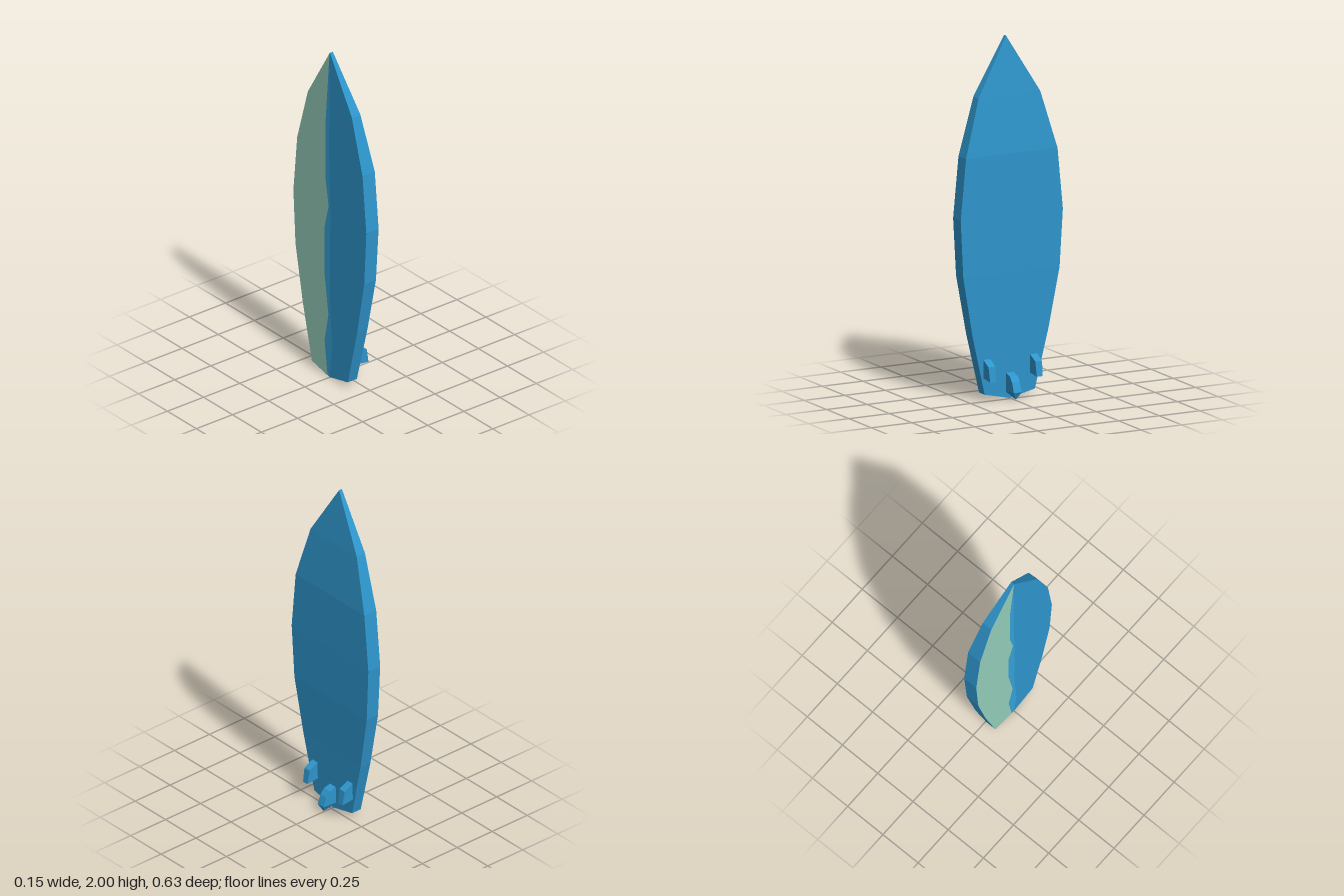
import * as THREE from 'three';

const BACK = -0.077;
// Board stations from tail to nose: height, half width, x of the fin side
const ROWS = [
  [0, 0, -0.015], [0.035, 0.155, -0.015], [0.37, 0.235, -0.006], [0.70, 0.297, 0.004],
  [1.02, 0.315, 0.008], [1.36, 0.282, 0.008], [1.68, 0.19, -0.018], [2, 0, -0.057],
];

function boardGeometry() {
  const pos = [];
  const quad = (a, b, c, d) => pos.push(...a, ...b, ...c, ...a, ...c, ...d);
  for (let i = 0; i < ROWS.length - 1; i++) {
    const [y, w, f] = ROWS[i], [Y, W, F] = ROWS[i + 1];
    quad([f, y, w], [f, y, -w], [F, Y, -W], [F, Y, W]);
    quad([BACK, y, -w], [BACK, y, w], [BACK, Y, W], [BACK, Y, -W]);
    quad([BACK, y, w], [f, y, w], [F, Y, W], [BACK, Y, W]);
    quad([f, y, -w], [BACK, y, -w], [BACK, Y, -W], [F, Y, -W]);
  }
  const g = new THREE.BufferGeometry();
  g.setAttribute('position', new THREE.Float32BufferAttribute(pos, 3));
  g.computeVertexNormals();
  return g;
}

// Fin from a side profile; vertices picked by the taper rule are narrowed
function finGeometry(points, width, taper) {
  const shape = new THREE.Shape(points.map(([x, y]) => new THREE.Vector2(x, y)));
  const g = new THREE.ExtrudeGeometry(shape, { depth: width, bevelEnabled: false });
  g.translate(0, 0, -width / 2);
  const p = g.attributes.position;
  for (let i = 0; i < p.count; i++) p.setZ(i, p.getZ(i) * taper(p.getX(i), p.getY(i)));
  g.computeVertexNormals();
  return g;
}

// Flat paint on the deck, outlined in (z, y)
function deckPaint(points, lift) {
  const shape = new THREE.Shape(points.map(([z, y]) => new THREE.Vector2(z, y)));
  const g = new THREE.ShapeGeometry(shape);
  g.rotateY(-Math.PI / 2);
  g.translate(BACK - lift, 0, 0);
  return g;
}

export function createModel() {
  const group = new THREE.Group();
  const material = (name, color, flatShading = false) => {
    const m = new THREE.MeshStandardMaterial({ color, flatShading });
    m.name = name;
    return m;
  };
  const blue = material('boardBlue', 0x2e95cc, true);
  const pale = material('paleGreen', 0x94cdb9);
  const lightBlue = material('stripeBlue', 0x36a2d8);
  const add = (name, geometry, mat) => {
    const mesh = new THREE.Mesh(geometry, mat);
    mesh.name = name;
    group.add(mesh);
    return mesh;
  };

  add('board', boardGeometry(), blue);

  // Painted half of the deck with an uneven inner edge
  const edge = [
    [-0.02, 0.01], [-0.045, 0.21], [-0.012, 0.38], [-0.045, 0.62], [-0.045, 0.91],
    [-0.01, 1.05], [-0.035, 1.2], [-0.035, 1.58], [-0.01, 1.9],
  ];
  const rim = ROWS.map(([y, w]) => [-w, y]);
  add('deckPaint', deckPaint([...edge, ...rim.slice(1).reverse()], 0.001), pale);

  // Narrow stripe between the paint and the centre line
  add('deckStripe', deckPaint([...edge.slice().reverse(), [0, 0.01], [0.02, 0.2],
    [0, 0.5], [0.005, 1], [-0.006, 1.4], [0, 1.9]].reverse(), 0.001), lightBlue);

  // Centre fin, swept down to a point
  add('centreFin', finGeometry([[-0.03, 0.16], [-0.03, 0.04], [0.055, 0.007],
    [0.075, 0.047], [0.055, 0.1], [0.03, 0.13], [-0.01, 0.14]], 0.048,
  (x, y) => (y < 0.02 ? 0.1 : 1)), blue);

  // Pair of side fins
  for (const s of [1, -1]) {
    const fin = add(s > 0 ? 'finFront' : 'finBack', finGeometry([[-0.03, 0.235],
      [-0.03, 0.13], [0.06, 0.118], [0.047, 0.2], [-0.01, 0.23]], 0.042,
    (x, y) => (x > 0.055 ? 0.85 : 1)), blue);
    fin.position.z = s * 0.144;
  }
  return group;
}
